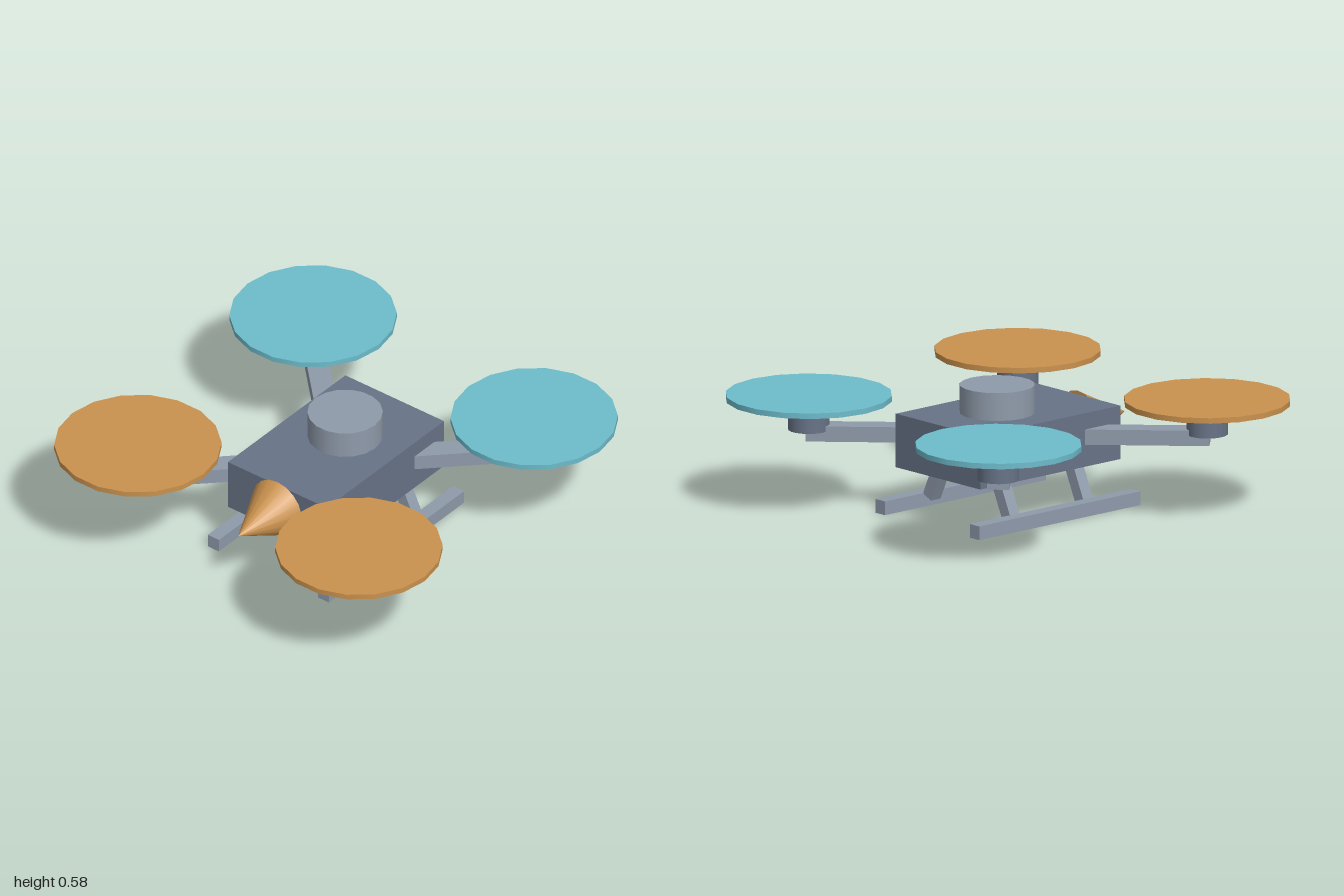
import * as THREE from 'three';

const paint = (name, color) => {
  const m = new THREE.MeshStandardMaterial({ color });
  m.name = name;
  return m;
};

export function createModel() {
  const slate = paint('slate', 0x687387);
  const silver = paint('silver', 0x8f9bab);
  const orange = paint('orange', 0xca924e);
  const teal = paint('teal', 0x6dbccb);

  const drone = new THREE.Group();
  drone.name = 'drone';

  const add = (name, geometry, material, x, y, z) => {
    const mesh = new THREE.Mesh(geometry, material);
    mesh.name = name;
    mesh.position.set(x, y, z);
    drone.add(mesh);
    return mesh;
  };
  // Upright disc with a corner of its outline on the x axis
  const disc = (r, h) => new THREE.CylinderGeometry(r, r, h, 18).rotateY(Math.PI / 2);

  // Body, top pod and nose cone
  add('body', new THREE.BoxGeometry(0.56, 0.245, 0.84), slate, 0, 0.332, 0);
  add('topPod', disc(0.168, 0.13), silver, 0, 0.517, -0.065);
  add('noseCone', new THREE.ConeGeometry(0.139, 0.28, 18).rotateX(Math.PI / 2), orange, 0, 0.332, 0.56);

  // Four diagonal arms, each with a motor and a rotor disc
  const armGeometry = new THREE.BoxGeometry(0.1, 0.07, 0.7);
  const motorGeometry = disc(0.093, 0.14);
  const rotorGeometry = disc(0.3725, 0.025);
  for (const sx of [-1, 1]) {
    for (const sz of [-1, 1]) {
      const arm = add('arm', armGeometry, silver, sx * 0.388, 0.345, sz * 0.388);
      arm.rotation.y = sx * sz * Math.PI / 4;
      add('motor', motorGeometry, slate, sx * 0.627, 0.425, sz * 0.627);
      add('rotor', rotorGeometry, sz > 0 ? orange : teal, sx * 0.627, 0.505, sz * 0.627);
    }
  }

  // Splayed legs standing on two skids
  const legGeometry = new THREE.BoxGeometry(0.058, 0.26, 0.058);
  const skidGeometry = new THREE.BoxGeometry(0.063, 0.063, 0.968);
  for (const sx of [-1, 1]) {
    add('skid', skidGeometry, silver, sx * 0.312, 0.0315, 0);
    for (const sz of [-1, 1]) {
      const leg = add('leg', legGeometry, silver, sx * 0.208, 0.166, sz * 0.22);
      leg.rotation.z = sx * 0.43;
    }
  }
  return drone;
}
